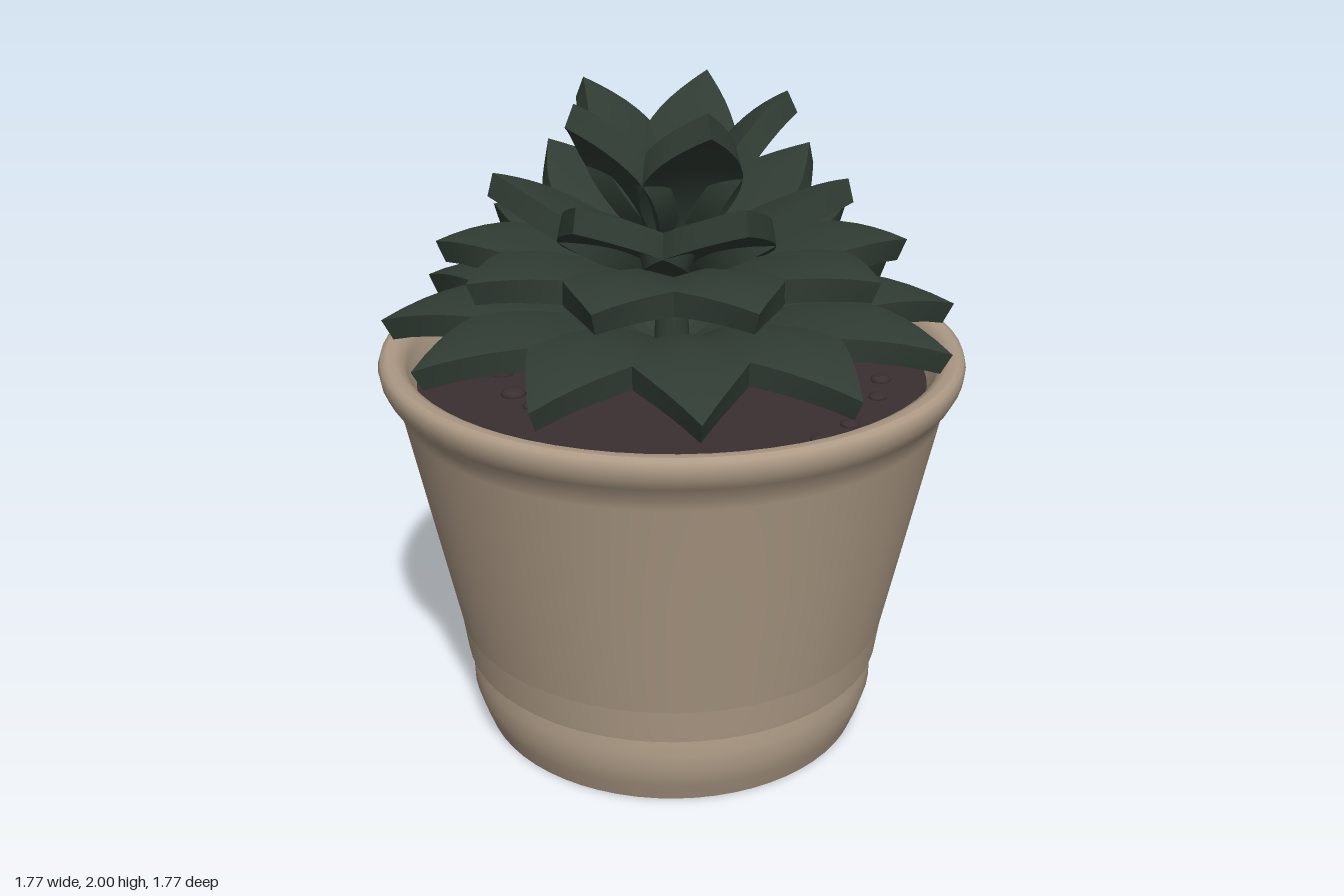
import * as THREE from 'three';
import { toCreasedNormals } from 'three/addons/utils/BufferGeometryUtils.js';

const clay = new THREE.MeshStandardMaterial({ color: 0xae9b86 });
clay.name = 'clay';
const leafGreen = new THREE.MeshStandardMaterial({ color: 0x303c33 });
leafGreen.name = 'leafGreen';
const soilBrown = new THREE.MeshStandardMaterial({ color: 0x3a2f31 });
soilBrown.name = 'soilBrown';

function add(parent, name, geometry, material) {
  const mesh = new THREE.Mesh(geometry, material);
  mesh.name = name;
  parent.add(mesh);
  return mesh;
}

function lathe(points) {
  return new THREE.LatheGeometry(points.map(([r, y]) => new THREE.Vector2(r, y)), 64);
}

// Thick pointed leaf growing along +z; base, bend and tip are [distance, height]
function leafGeometry({ base, bend, tip, width, thickness }) {
  const steps = 14;
  const curve = new THREE.QuadraticBezierCurve(
    new THREE.Vector2(...base), new THREE.Vector2(...bend), new THREE.Vector2(...tip));
  const positions = [], index = [];
  for (let i = 0; i <= steps; i++) {
    const s = i / steps;
    const p = curve.getPoint(s), t = curve.getTangent(s);
    const w = i === steps ? 0 : width * Math.sin(Math.PI * (0.08 + 0.92 * s));
    const droop = 0.16 * w;
    // Ring of six: top right, ridge, top left, bottom left, keel, bottom right
    const ring = [[w, droop], [0, 0], [-w, droop],
      [-w, thickness + droop], [0, thickness], [w, thickness + droop]];
    for (const [x, depth] of ring) {
      positions.push(x, p.y - t.x * depth, p.x + t.y * depth);
    }
  }
  for (let i = 0; i < steps; i++) {
    for (let j = 0; j < 6; j++) {
      const a = i * 6 + j, b = i * 6 + (j + 1) % 6;
      index.push(a, b, a + 6, b, b + 6, a + 6);
    }
  }
  const geometry = new THREE.BufferGeometry();
  geometry.setAttribute('position', new THREE.Float32BufferAttribute(positions, 3));
  geometry.setIndex(index);
  return toCreasedNormals(geometry, 0.6);
}

export function createModel() {
  const model = new THREE.Group();
  model.name = 'pottedSucculent';

  // Pot, in pieces so that the edges between them stay sharp
  const pot = new THREE.Group();
  pot.name = 'pot';
  model.add(pot);
  add(pot, 'potBottom', lathe([[0, 0], [0.61, 0]]), clay);
  add(pot, 'potFoot', lathe([[0.61, 0], [0.632, 0.06], [0.65, 0.12], [0.65, 0.18], [0.643, 0.235]]), clay);
  add(pot, 'footStep', lathe([[0.643, 0.235], [0.665, 0.24]]), clay);
  add(pot, 'lowerBand', lathe([[0.665, 0.24], [0.668, 0.26], [0.68, 0.35]]), clay);
  add(pot, 'potWall', lathe([[0.68, 0.35], [0.757, 0.73], [0.825, 1.07], [0.838, 1.115],
    [0.865, 1.15], [0.88, 1.18], [0.885, 1.21], [0.878, 1.233], [0.862, 1.24]]), clay);
  add(pot, 'rim', lathe([[0.862, 1.24], [0.835, 1.238], [0.812, 1.225], [0.8, 1.2],
    [0.785, 1.16], [0.76, 1.1]]), clay);

  // Soil with small lumps scattered near the wall
  const soil = add(model, 'soil', new THREE.CircleGeometry(0.775, 64), soilBrown);
  soil.rotation.x = -Math.PI / 2;
  soil.position.y = 1.14;
  const lumpGeometry = new THREE.SphereGeometry(0.035, 12, 8);
  for (let i = 0; i < 22; i++) {
    const angle = i * 2.4, r = 0.5 + 0.22 * ((i * 0.618) % 1);
    const lump = add(model, 'soilLump', lumpGeometry, soilBrown);
    lump.position.set(r * Math.sin(angle), 1.142, r * Math.cos(angle));
    lump.scale.set(1, 0.5, 1).multiplyScalar(0.7 + 0.5 * ((i * 0.37) % 1));
  }

  // Rosette of four tiers, from the lowest up
  const tiers = [
    { name: 'lowestLeaf', count: 12, turn: 0, base: [0, 1.2], bend: [0.45, 1.55], tip: [0.87, 1.33], width: 0.195, thickness: 0.07 },
    { name: 'lowerLeaf', count: 10, turn: 0.03, base: [0, 1.4], bend: [0.4, 1.68], tip: [0.7, 1.555], width: 0.195, thickness: 0.07 },
    { name: 'upperLeaf', count: 7, turn: Math.PI, base: [0, 1.5], bend: [0.25, 1.71], tip: [0.52, 1.78], width: 0.19, thickness: 0.07 },
    { name: 'crownLeaf', count: 5, turn: 0, base: [0, 1.55], bend: [0.08, 1.88], tip: [0.33, 2.0], width: 0.15, thickness: 0.07 },
  ];
  for (const tier of tiers) {
    const geometry = leafGeometry(tier);
    for (let i = 0; i < tier.count; i++) {
      const leaf = add(model, tier.name, geometry, leafGreen);
      leaf.rotation.y = tier.turn + (i / tier.count) * Math.PI * 2;
    }
  }

  // Stem joining the tiers
  const stem = add(model, 'stem', new THREE.CylinderGeometry(0.04, 0.06, 0.42, 16), leafGreen);
  stem.position.y = 1.34;

  return model;
}
